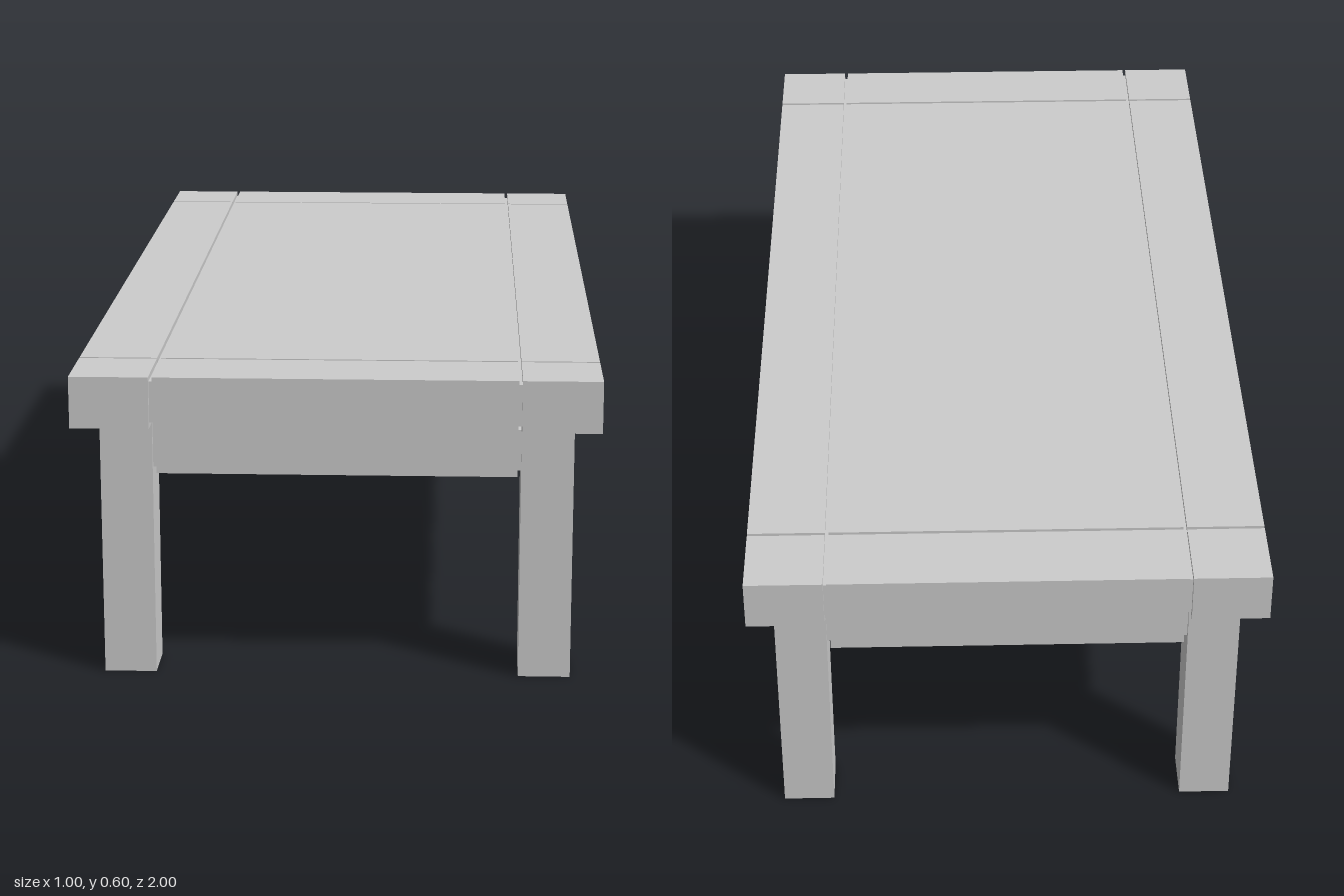
import * as THREE from 'three';

const GROOVE = 0.007; // width of the shadow gaps
const DEPTH = 0.01;   // depth of the shadow gaps

export function createModel() {
  const model = new THREE.Group();
  const mat = new THREE.MeshStandardMaterial({ color: 0xcccccc, flatShading: true });

  // Box from its lower and upper limits on each axis
  function box(parent, name, [x0, x1], [y0, y1], [z0, z1]) {
    const mesh = new THREE.Mesh(new THREE.BoxGeometry(x1 - x0, y1 - y0, z1 - z0), mat);
    mesh.position.set((x0 + x1) / 2, (y0 + y1) / 2, (z0 + z1) / 2);
    mesh.name = name;
    parent.add(mesh);
  }

  // Three spans along one side of the top, parted by grooves
  function spans(half) {
    const inner = half - 0.15;
    return [[-half, -inner], [-inner + GROOVE, inner - GROOVE], [inner, half]];
  }

  // Tabletop: nine panels around a core that forms the groove floors
  const top = new THREE.Group();
  top.name = 'tabletop';
  model.add(top);
  const names = [
    ['cornerBlock', 'sideBoard', 'cornerBlock'],
    ['endBoard', 'centrePanel', 'endBoard'],
    ['cornerBlock', 'sideBoard', 'cornerBlock'],
  ];
  spans(0.5).forEach((xs, i) => spans(1).forEach((zs, j) => {
    box(top, names[i][j], xs, [0.5, 0.6], zs);
  }));
  box(top, 'topCore', [-0.5 + DEPTH, 0.5 - DEPTH], [0.5 + DEPTH, 0.6 - DEPTH], [-1 + DEPTH, 1 - DEPTH]);

  // Legs
  for (const x of [-0.4, 0.4]) {
    for (const z of [-0.9, 0.9]) {
      box(model, 'leg', [x - 0.05, x + 0.05], [0, 0.5], [z - 0.05, z + 0.05]);
    }
  }

  // Apron rails, flush with the legs, with thinner tenons bridging the gaps
  const apron = new THREE.Group();
  apron.name = 'apron';
  model.add(apron);
  for (const s of [-1, 1]) {
    const across = (centre, inset) => [s * centre - 0.05 + inset, s * centre + 0.05 - inset];
    const along = (half) => [-half, half];
    box(apron, 'sideRail', across(0.4, 0), [0.4, 0.5], along(0.85 - GROOVE));
    box(apron, 'sideTenon', across(0.4, DEPTH), [0.4 + DEPTH, 0.5 - DEPTH], along(0.85));
    box(apron, 'endRail', along(0.35 - GROOVE), [0.4, 0.5], across(0.9, 0));
    box(apron, 'endTenon', along(0.35), [0.4 + DEPTH, 0.5 - DEPTH], across(0.9, DEPTH));
  }
  return model;
}
